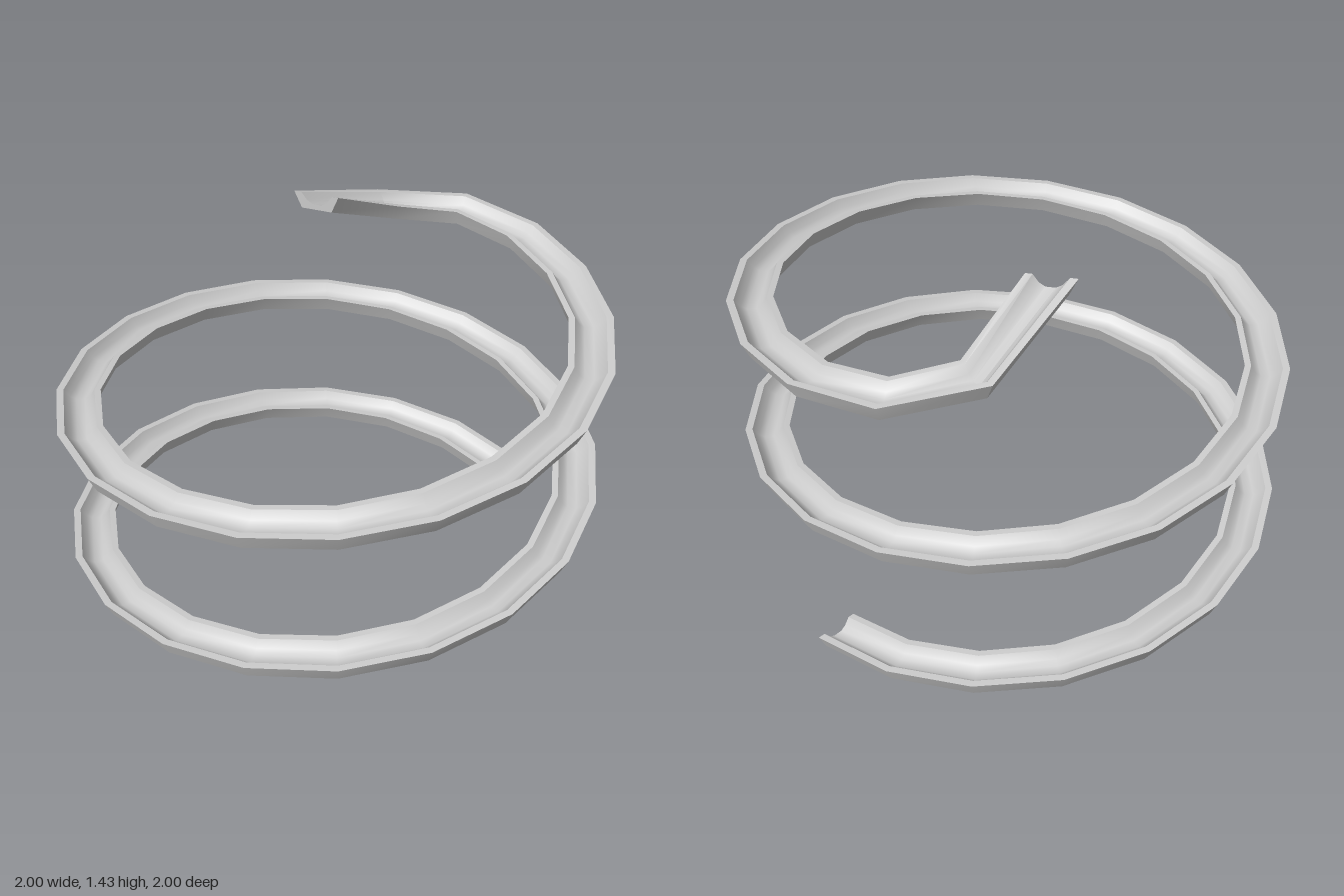
import * as THREE from 'three';
import { toCreasedNormals } from 'three/addons/utils/BufferGeometryUtils.js';

const INNER = 0.85, OUTER = 1.013; // rim radii
const SEGMENTS = 20;               // per turn
const PITCH = 0.577;

// Channel cross-section, counter-clockwise: x = radius, y = height above the base
const profile = [
  [0.875, 0], [0.985, 0], [1.013, 0.065], [0.987, 0.065], [0.966, 0.036], [0.945, 0.022],
  [0.912, 0.022], [0.892, 0.036], [0.873, 0.065], [0.85, 0.065],
].map(([x, y]) => new THREE.Vector2(x, y));

// Each station gives the inner and outer rim in plan (x, z) and the base height
function makeStations() {
  const stations = [];
  for (let i = 0; i <= 2 * SEGMENTS; i++) {
    const a = ((i - 0.5) / SEGMENTS) * Math.PI * 2;
    const at = (r) => [r * Math.cos(a), -r * Math.sin(a)];
    stations.push({ inner: at(INNER), outer: at(OUTER), y: (PITCH * i) / SEGMENTS });
  }
  // Exit chute turning in and rising more steeply
  stations.push({ inner: [0.815, -0.1], outer: [0.965, -0.17], y: 1.18 });
  stations.push({ inner: [0.65, -0.255], outer: [0.7, -0.415], y: 1.21 });
  stations.push({ inner: [0.32, -0.27], outer: [0.25, -0.43], y: 1.365 });
  return stations;
}

function sweepChannel(stations) {
  const n = profile.length, positions = [], index = [];
  for (const { inner, outer, y } of stations) {
    for (const p of profile) {
      const t = (p.x - INNER) / (OUTER - INNER);
      positions.push(
        THREE.MathUtils.lerp(inner[0], outer[0], t), y + p.y,
        THREE.MathUtils.lerp(inner[1], outer[1], t));
    }
  }
  for (let i = 0; i < stations.length - 1; i++) {
    for (let j = 0; j < n; j++) {
      const k = (j + 1) % n;
      const a = i * n + j, b = i * n + k, c = b + n, d = a + n;
      index.push(a, d, c, a, c, b);
    }
  }
  // End caps
  const last = (stations.length - 1) * n;
  for (const [a, b, c] of THREE.ShapeUtils.triangulateShape(profile, [])) {
    index.push(a, b, c, last + c, last + b, last + a);
  }
  const geometry = new THREE.BufferGeometry();
  geometry.setAttribute('position', new THREE.Float32BufferAttribute(positions, 3));
  geometry.setIndex(index);
  return toCreasedNormals(geometry, 0.75);
}

export function createModel() {
  const group = new THREE.Group();
  group.name = 'spiralTrack';
  const material = new THREE.MeshStandardMaterial({ color: 0xcccccc });
  const channel = new THREE.Mesh(sweepChannel(makeStations()), material);
  channel.name = 'helicalChannel';
  group.add(channel);
  return group;
}
